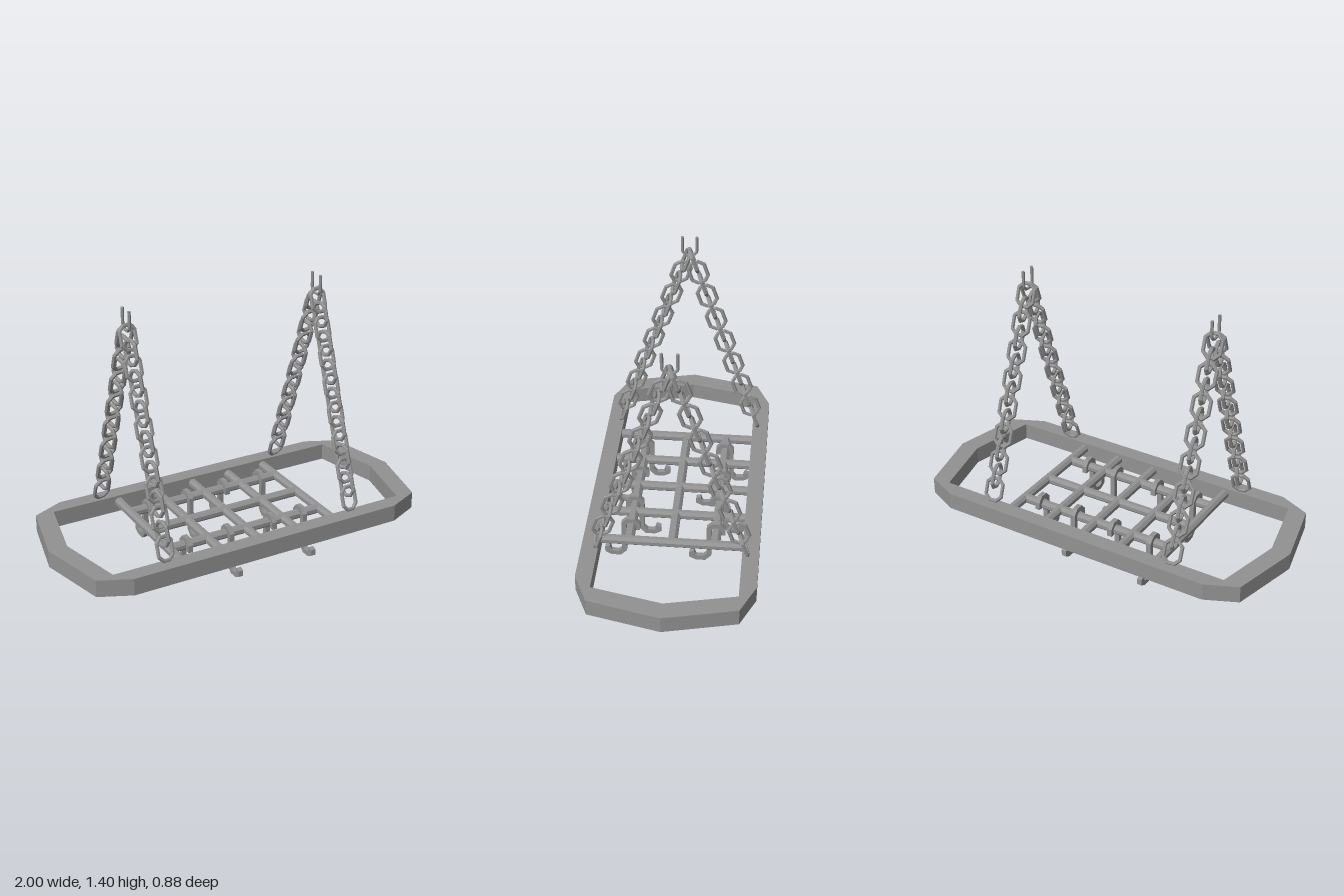
import * as THREE from 'three';

const material = new THREE.MeshStandardMaterial({ color: 0x929292, flatShading: true });

function addMesh(parent, name, geometry) {
  const mesh = new THREE.Mesh(geometry, material);
  mesh.name = name;
  parent.add(mesh);
  return mesh;
}

// Mirrors a quarter outline (from +x axis round to +z side) into a closed loop
function mirrorOutline(tip, corners) {
  const right = [...corners].reverse().map(([x, z]) => [x, -z]).concat([tip], corners);
  const left = [...right].reverse().map(([x, z]) => [-x, z]);
  return [...right, ...left].map(([x, z]) => new THREE.Vector2(x, z));
}

// Flat strip of constant width following a polyline, extruded to a bar
function stripGeometry(points, width, depth) {
  const pts = points.map(([u, v]) => new THREE.Vector2(u, v));
  const sides = [[], []];
  pts.forEach((p, i) => {
    const a = p.clone().sub(pts[Math.max(i - 1, 0)]).normalize();
    const b = pts[Math.min(i + 1, pts.length - 1)].clone().sub(p).normalize();
    const t = a.clone().add(b).normalize();
    const miter = width / 2 / Math.max(t.dot(i ? a : b), 0.6);
    const n = new THREE.Vector2(-t.y, t.x).multiplyScalar(miter);
    sides[0].push(p.clone().add(n));
    sides[1].push(p.clone().sub(n));
  });
  const shape = new THREE.Shape([...sides[0], ...sides[1].reverse()]);
  return new THREE.ExtrudeGeometry(shape, { depth, bevelEnabled: false }).translate(0, 0, -depth / 2);
}

// Elongated eight-sided chain link, long axis along y
function linkGeometry() {
  const g = new THREE.TorusGeometry(0.0465, 0.0105, 6, 8).rotateZ(Math.PI / 8);
  const p = g.attributes.position;
  for (let i = 0; i < p.count; i++) p.setY(i, p.getY(i) + Math.sign(p.getY(i)) * 0.016);
  g.computeVertexNormals();
  return g;
}

export function createModel() {
  const model = new THREE.Group();
  model.name = 'hangingRack';

  // Outer frame
  const outline = new THREE.Shape(mirrorOutline([1, 0], [[0.915, 0.367], [0.75, 0.442]]));
  outline.holes.push(new THREE.Path(mirrorOutline([0.9, 0], [[0.82, 0.358]])));
  const frameGeo = new THREE.ExtrudeGeometry(outline, { depth: 0.09, bevelEnabled: false });
  addMesh(model, 'frame', frameGeo.rotateX(-Math.PI / 2).translate(0, 0.145, 0));

  // Grid of bars
  const grid = new THREE.Group();
  grid.name = 'grid';
  model.add(grid);
  const bar = (length) => new THREE.CylinderGeometry(0.025, 0.025, length, 8).rotateY(Math.PI / 8);
  for (let i = 0; i < 5; i++) {
    const mesh = addMesh(grid, 'crossBar', bar(0.73).rotateX(Math.PI / 2));
    mesh.position.set(-0.45 + i * 0.219, 0.2, 0);
  }
  for (const z of [-0.22, -0.003, 0.215]) {
    const mesh = addMesh(grid, 'longBar', bar(0.88).rotateZ(Math.PI / 2));
    mesh.position.set(-0.012, 0.2, z);
  }

  // Hooks hung over the outer long bars: x, z, direction of the tip, lift
  const hookGeo = stripGeometry([
    [-0.034, 0.18], [-0.034, 0.215], [-0.015, 0.237], [0.015, 0.237], [0.036, 0.215],
    [0.036, 0.042], [0.06, 0.017], [0.1, 0.017], [0.124, 0.03], [0.124, 0.045], [0.108, 0.05],
  ], 0.025, 0.026).rotateY(-Math.PI / 2);
  const hooks = [
    [-0.355, 0.22, -1, 0], [-0.12, 0.22, 1, 0], [0.13, 0.22, -1, 0], [0.31, 0.22, 1, 0],
    [-0.35, -0.217, -1, 0], [-0.12, -0.217, 1, 0], [0.1, -0.217, -1, 0.008], [0.32, -0.217, 1, 0.008],
  ];
  for (const [x, z, dir, lift] of hooks) {
    const hook = addMesh(model, 'hook', hookGeo);
    hook.position.set(x, lift - 0.003, z);
    if (dir < 0) hook.rotation.y = Math.PI;
  }

  // Two slightly twisted chains on each side, meeting at a U-shaped hanger
  const linkGeo = linkGeometry();
  const tilt = Math.atan2(0.34, 0.97);
  for (const x of [-0.543, 0.517]) {
    for (const side of [1, -1]) {
      const chain = new THREE.Group();
      chain.name = side > 0 ? 'frontChain' : 'backChain';
      chain.position.set(x, 0.3, side * 0.36 - 0.003);
      chain.rotation.x = -side * tilt;
      for (let i = 0; i < 15; i++) {
        const link = addMesh(chain, 'link', linkGeo);
        link.position.y = i * 0.0734;
        link.rotation.y = (i % 2) * Math.PI / 2 + 0.18;
      }
      model.add(chain);
    }
    const path = new THREE.CurvePath();
    const pts = [[1.405, 0.034], [1.32, 0.034], [1.3, 0.015], [1.3, -0.021], [1.32, -0.04], [1.405, -0.04]]
      .map(([y, z]) => new THREE.Vector3(x, y, z));
    for (let i = 1; i < pts.length; i++) path.add(new THREE.LineCurve3(pts[i - 1], pts[i]));
    const hanger = addMesh(model, 'hanger', new THREE.TubeGeometry(path, 24, 0.008, 6));
    // Closed tops of the hanger rods
    for (const z of [0.034, -0.04]) {
      const cap = addMesh(hanger, 'hangerEnd', new THREE.CircleGeometry(0.008, 6).rotateX(-Math.PI / 2));
      cap.position.set(x, 1.405, z);
    }
  }
  return model;
}
